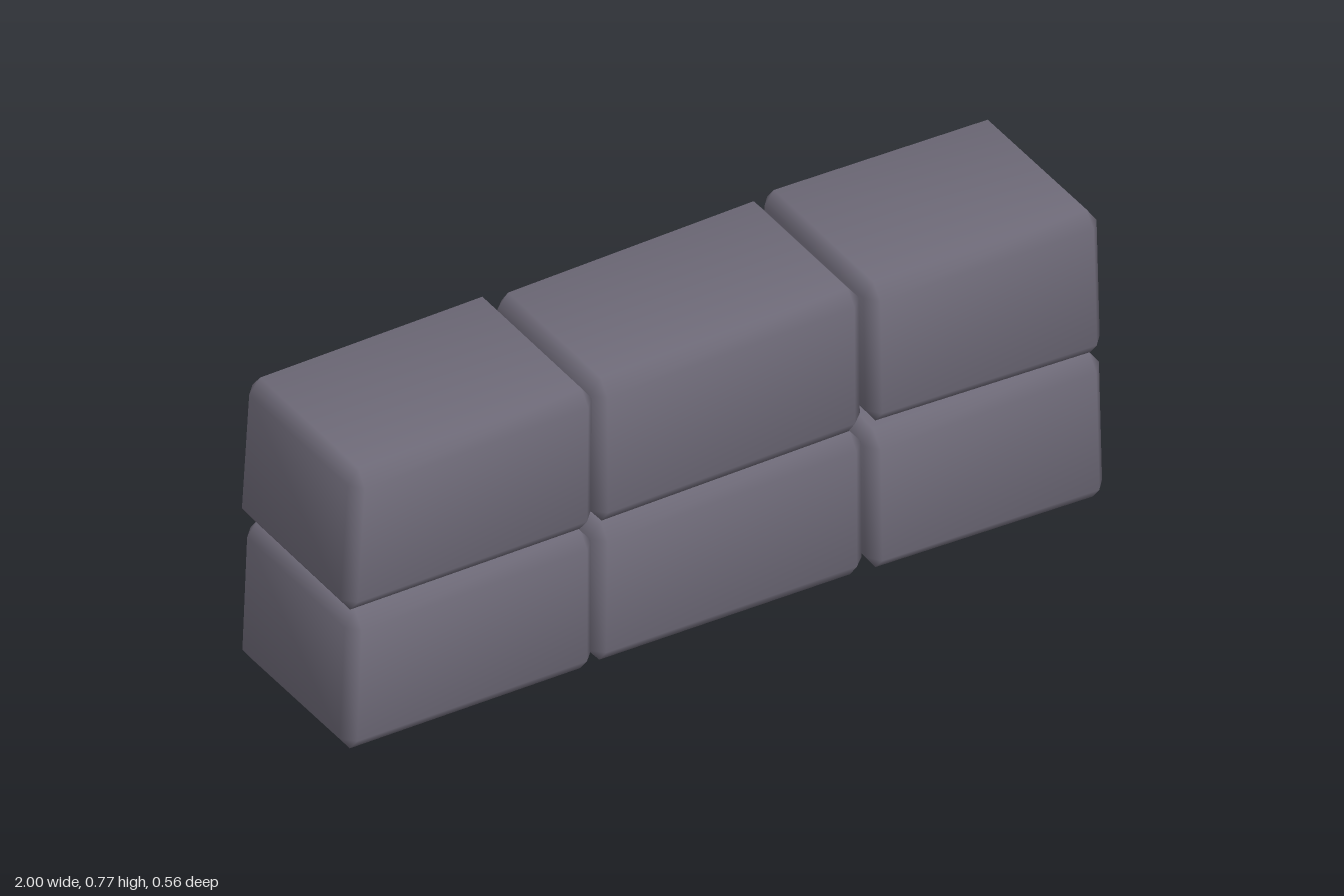
import * as THREE from 'three';

const stone = new THREE.MeshStandardMaterial({ color: 0x6e6a78 });
stone.name = 'slateStone';

// Each block is a slightly skewed box. "low x" is the model's right end.
// lowX, highX: [at bottom, at top]; front, back: z at [low x, high x];
// base, top: y at [front low x, front high x, back low x, back high x]
const blocks = [
  { name: 'lowerRightBlock', lowX: [-1, -0.985], highX: [-0.335, -0.335], front: [0.282, 0.252], back: [-0.2, -0.235],
    base: [0.028, 0.018, 0.022, 0.012], top: [0.388, 0.383, 0.388, 0.383] },
  { name: 'lowerMiddleBlock', lowX: [-0.335, -0.33], highX: [0.382, 0.38], front: [0.238, 0.218], back: [-0.238, -0.252],
    base: [0.012, 0.006, 0.012, 0.006], top: [0.376, 0.386, 0.378, 0.388] },
  { name: 'lowerLeftBlock', lowX: [0.39, 0.385], highX: [1, 0.99], front: [0.222, 0.222], back: [-0.278, -0.284],
    base: [0.003, 0, 0.02, 0.026], top: [0.368, 0.39, 0.4, 0.412] },
  { name: 'upperRightBlock', lowX: [-0.995, -0.972], highX: [-0.333, -0.33], front: [0.275, 0.248], back: [-0.212, -0.242],
    base: [0.39, 0.385, 0.39, 0.385], top: [0.757, 0.757, 0.755, 0.755] },
  { name: 'upperMiddleBlock', lowX: [-0.328, -0.33], highX: [0.378, 0.376], front: [0.236, 0.216], back: [-0.222, -0.25],
    base: [0.378, 0.386, 0.38, 0.388], top: [0.758, 0.768, 0.755, 0.765] },
  { name: 'upperLeftBlock', lowX: [0.385, 0.38], highX: [0.992, 0.982], front: [0.23, 0.224], back: [-0.262, -0.264],
    base: [0.4, 0.388, 0.405, 0.412], top: [0.77, 0.773, 0.768, 0.766] },
];

const mix = (a, b, t) => a + (b - a) * t;

// Place a point of the unit cube inside the skewed box
function place(b, u, v, w) {
  const height = (y) => mix(mix(y[2], y[3], u), mix(y[0], y[1], u), w);
  return new THREE.Vector3(
    mix(mix(b.lowX[0], b.lowX[1], v), mix(b.highX[0], b.highX[1], v), u),
    mix(height(b.base), height(b.top), v),
    mix(mix(b.back[0], b.back[1], u), mix(b.front[0], b.front[1], u), w));
}

// Chamfered block: three vertices per corner, one on each neighbouring face
function chamferedBlock(b) {
  const inset = [0.028 / 0.66, 0.036 / 0.37, 0.03 / 0.48];
  const center = place(b, 0.5, 0.5, 0.5);
  const points = [], signs = [], index = [];
  for (let c = 0; c < 8; c++) {
    const bits = [c & 1, (c >> 1) & 1, (c >> 2) & 1];
    for (let axis = 0; axis < 3; axis++) {
      const p = bits.map((bit, i) => (i === axis ? bit : bit ? 1 - inset[i] : inset[i]));
      points.push(place(b, ...p));
      signs.push(bits.map((bit) => bit * 2 - 1));
    }
  }
  // Add a polygon, turned so that it faces outward
  const addFace = (ids) => {
    const [p, q, r] = ids.map((i) => points[i]);
    const normal = q.clone().sub(p).cross(r.clone().sub(p));
    const order = normal.dot(p.clone().sub(center)) < 0 ? [...ids].reverse() : ids;
    for (let i = 1; i < order.length - 1; i++) index.push(order[0], order[i], order[i + 1]);
  };
  for (let axis = 0; axis < 3; axis++) {
    const m = 1 << axis, j = (axis + 1) % 3, k = (axis + 2) % 3;
    const mj = 1 << j, mk = 1 << k;
    // Two large faces
    for (const c of [0, m]) addFace([c, c + mj, c + mj + mk, c + mk].map((n) => n * 3 + axis));
    // Four bevels running along this axis
    for (const c of [0, mj, mk, mj + mk]) {
      addFace([c * 3 + j, (c + m) * 3 + j, (c + m) * 3 + k, c * 3 + k]);
    }
  }
  // Corner triangles
  for (let c = 0; c < 8; c++) addFace([c * 3, c * 3 + 1, c * 3 + 2]);

  const geometry = new THREE.BufferGeometry().setFromPoints(points);
  geometry.setIndex(index);
  geometry.computeVertexNormals();
  // Soften the shading towards the corners
  const normals = geometry.attributes.normal;
  const n = new THREE.Vector3();
  signs.forEach((s, i) => {
    n.fromBufferAttribute(normals, i).addScaledVector(new THREE.Vector3(...s), 0.15).normalize();
    normals.setXYZ(i, n.x, n.y, n.z);
  });
  return geometry;
}

export function createModel() {
  const wall = new THREE.Group();
  wall.name = 'blockWall';
  for (const b of blocks) {
    const mesh = new THREE.Mesh(chamferedBlock(b), stone);
    mesh.name = b.name;
    wall.add(mesh);
  }
  return wall;
}
